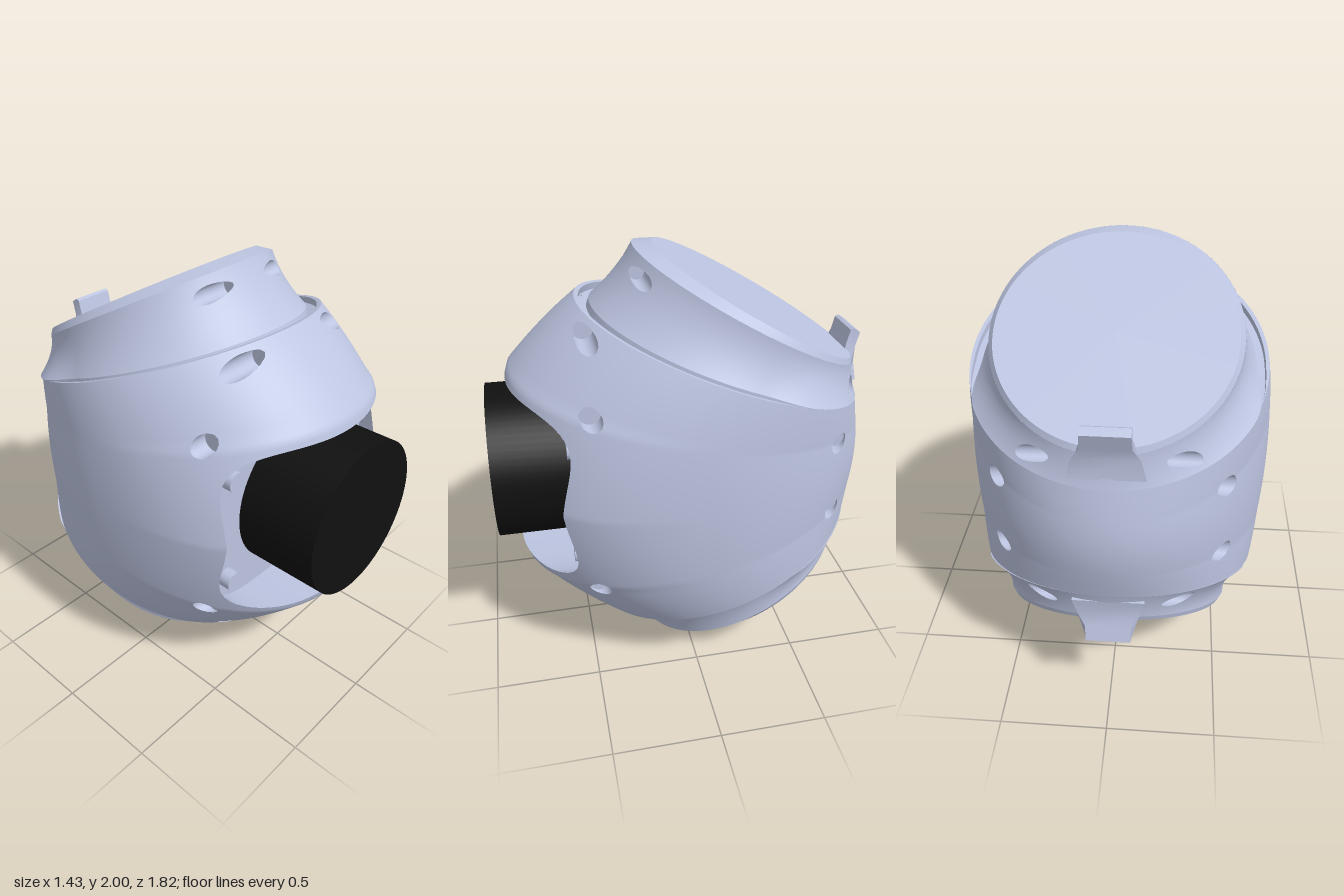
import * as THREE from 'three';
import { toCreasedNormals } from 'three/addons/utils/BufferGeometryUtils.js';

const RAD = Math.PI / 180, HINGE_Z = -1.63, MID_Y = 1, N = 280;
const COLLAR = 20.4, RIM = 28.65, FACE = 29.9;   // tilt of the section planes, in degrees
const { smoothstep, lerp } = THREE.MathUtils;

// Sections lie in planes fanned about a hinge line behind the model:
// rf / rb = front / back distance from the hinge, w = half width, n = roundness
function bodySection(t) {
  const s = Math.abs(t) / COLLAR;
  return {
    rf: Math.min(2.5 - 0.09 * s * s, 2.475 - 0.51 * (s - 0.54)),
    rb: 0.725 + 0.095 * s * s,
    w: () => 0.715 - 0.05 * s * s,
    n: u => (u > 0 ? 2 + 0.4 * Math.max(0, 1 - s / 0.6) : 2),
  };
}
function neckSection(t) {
  const s = (Math.abs(t) - COLLAR) / (RIM - COLLAR), f = (1 - s) ** 2;
  return {
    rf: 2.085 + 0.085 * f,
    rb: 0.82 + 0.085 * s,
    w: u => 0.54 + (0.07 + 0.055 * smoothstep(-u, 0, 0.45)) * f,
    n: () => 2,
  };
}
const faceSection = () => ({ rf: 2.007, rb: 0.925, w: () => 0.515, n: () => 2 });

const halfWidth = (sec, u) => {
  const n = sec.n(u), k = Math.min(1, Math.abs(u));
  return sec.w(u) * Math.max(0, 1 - k ** n) ** (1 / n);
};
function point(sec, t, u, side) {
  const r = (sec.rf + sec.rb) / 2 + u * (sec.rf - sec.rb) / 2;
  return new THREE.Vector3(side * halfWidth(sec, u),
    MID_Y + r * Math.sin(t * RAD), HINGE_Z + r * Math.cos(t * RAD));
}
// Half width of the surface at a given height and depth
function widthAt(section, y, z) {
  const t = Math.atan2(y - MID_Y, z - HINGE_Z) / RAD, sec = section(t);
  const r = Math.hypot(y - MID_Y, z - HINGE_Z);
  const u = (2 * r - sec.rf - sec.rb) / (sec.rf - sec.rb);
  return Math.abs(u) > 1 ? 0 : halfWidth(sec, u);
}

// Round holes drilled sideways: z, height above the middle, radius, surface
const HOLES = [
  [0.2, 0.91, 0.037, neckSection], [0.455, 0.7, 0.047, bodySection],
  [0.47, 0.44, 0.048, bodySection], [-0.65, 0.18, 0.047, bodySection],
  [-0.76, 0.38, 0.035, neckSection],
].flatMap(([z, h, r, section]) => [1, -1].map(m => ({ z, y: MID_Y + m * h, r, section })));

// Front opening outline and where it meets the body
const OPEN_W = 0.56, OPEN_H = 0.43, OPEN_N = 4.5;
const openingValue = (x, y) =>
  (Math.abs(x / OPEN_W) ** OPEN_N + Math.abs((y - MID_Y) / OPEN_H) ** OPEN_N) ** (1 / OPEN_N);
function bodyFront(x, y) {
  let lo = 0.1, hi = 1.1;
  for (let i = 0; i < 22; i++) {
    const z = (lo + hi) / 2;
    if (widthAt(bodySection, y, z) > Math.abs(x)) lo = z; else hi = z;
  }
  return lo;
}
// Moves points that fall inside a cut onto its edge
function trim(p, section) {
  for (const h of HOLES) {
    const dz = p.z - h.z, dy = p.y - h.y, d = Math.hypot(dz, dy);
    if (h.section !== section || d >= h.r) continue;
    p.z = h.z + dz * h.r / (d || 1);
    p.y = h.y + dy * h.r / (d || 1);
    p.x = Math.sign(p.x) * widthAt(section, p.y, p.z);
    return true;
  }
  const f = openingValue(p.x, p.y);
  if (section === bodySection && p.z > 0.2 && f < 1) {
    p.x /= f || 1;
    p.y = MID_Y + (p.y - MID_Y) / (f || 1);
    p.z = bodyFront(p.x, p.y);
    return true;
  }
  return false;
}

// Skin over closed rows of points; triangles wholly inside a cut are left out
function loft(rows, count, at, section, flip = false) {
  const pos = [], cut = [], index = [];
  for (let i = 0; i < rows; i++) for (let j = 0; j < count; j++) {
    const p = at(i, j / count * 2 * Math.PI);
    cut.push(section ? trim(p, section) : false);
    pos.push(p.x, p.y, p.z);
  }
  const tri = (a, b, c) => {
    if (!(cut[a] && cut[b] && cut[c])) index.push(...(flip ? [a, c, b] : [a, b, c]));
  };
  for (let i = 0; i < rows - 1; i++) for (let j = 0; j < count; j++) {
    const k = (j + 1) % count, a = i * count, b = a + count;
    tri(a + j, a + k, b + k);
    tri(a + j, b + k, b + j);
  }
  const g = new THREE.BufferGeometry();
  g.setAttribute('position', new THREE.Float32BufferAttribute(pos, 3));
  g.setIndex(index);
  g.computeVertexNormals();
  return g;
}
const ringPoint = (sec, t, a) => point(sec, t, Math.cos(a), Math.sign(Math.sin(a)));

export function createModel() {
  const shell = new THREE.MeshStandardMaterial({ color: 0xbcc4e0, side: THREE.DoubleSide });
  shell.name = 'paleBlueGrey';
  const black = new THREE.MeshStandardMaterial({ color: 0x101010 });
  black.name = 'black';
  const model = new THREE.Group();
  const add = (name, geometry, material = shell) => {
    const mesh = new THREE.Mesh(geometry, material);
    mesh.name = name;
    model.add(mesh);
    return mesh;
  };

  // Barrel body
  const rows = 97;
  add('body', loft(rows, N, (i, a) => {
    const t = lerp(-COLLAR, COLLAR, i / (rows - 1));
    return ringPoint(bodySection(t), t, a);
  }, bodySection));

  for (const m of [1, -1]) {
    const end = m > 0 ? 'upper' : 'lower', flip = m < 0;
    // Ledge with a groove that fades out towards the back
    const steps = [[0, 0], [0.3, 0], [0.35, 0.9], [1, 0.9], [1, 0]];
    add(end + 'Ledge', toCreasedNormals(loft(steps.length, N, (i, a) => {
      const [k, dip] = steps[i], t = m * (COLLAR - dip * smoothstep(Math.cos(a), -0.5, 0));
      return ringPoint(bodySection(COLLAR), t, a).lerp(ringPoint(neckSection(COLLAR), t, a), k);
    }, null, flip), 0.6));
    // Neck, chamfer and flat end face
    add(end + 'Neck', loft(31, N, (i, a) => {
      const t = m * lerp(COLLAR, RIM, i / 30);
      return ringPoint(neckSection(t), t, a);
    }, neckSection, flip));
    add(end + 'Chamfer', loft(2, 96, (i, a) => (i
      ? ringPoint(faceSection(), m * FACE, a) : ringPoint(neckSection(RIM), m * RIM, a)), null, flip));
    const centre = point({ ...faceSection(), w: () => 0 }, m * FACE, 0, 0);
    add(end + 'EndFace', loft(2, 96, (i, a) => (i
      ? centre.clone() : ringPoint(faceSection(), m * FACE, a)), null, flip));

    // Curved tab at the back, narrowing to its tip
    const profile = [[-0.78, 0.36], [-0.8, 0.46], [-0.812, 0.5], [-0.828, 0.565], [-0.845, 0.572],
      [-0.877, 0.55], [-0.857, 0.48], [-0.84, 0.42], [-0.85, 0.33], [-0.8, 0.33]];
    const tab = new THREE.ExtrudeGeometry(
      new THREE.Shape(profile.map(([z, h]) => new THREE.Vector2(-z, MID_Y + m * h))),
      { depth: 2, bevelEnabled: false });
    tab.translate(0, 0, -1).rotateY(Math.PI / 2);
    const p = tab.attributes.position;
    for (let i = 0; i < p.count; i++) {
      const h = Math.abs(p.getY(i) - MID_Y);
      p.setX(i, p.getX(i) * (0.1 + 0.06 * (1 - smoothstep(h, 0.36, 0.5))));
    }
    tab.computeVertexNormals();
    add(end + 'Tab', toCreasedNormals(tab, 0.6));
  }

  // Walls and floors of the round holes
  for (const h of HOLES) for (const side of [1, -1]) {
    const rim = a => {
      const y = h.y + h.r * Math.sin(a), z = h.z + h.r * Math.cos(a);
      return new THREE.Vector3(side * widthAt(h.section, y, z), y, z);
    };
    let floor = 9;
    for (let j = 0; j < 32; j++) floor = Math.min(floor, Math.abs(rim(j / 16 * Math.PI).x));
    floor = side * Math.max(0.02, floor - 0.015);
    add('holeWall', loft(2, 32, (i, a) => {
      const q = rim(a);
      if (i) q.x = floor;
      return q;
    }, null, side < 0));
    const disc = add('holeFloor', new THREE.CircleGeometry(h.r, 32));
    disc.rotation.y = side * Math.PI / 2;
    disc.position.set(floor, h.y, h.z);
  }

  // Front opening: wall, floor and corner bosses
  const FLOOR_Z = 0.52;
  const edge = a => {
    const c = Math.cos(a), s = Math.sin(a), f = openingValue(c, MID_Y + s);
    return new THREE.Vector2(c / f, MID_Y + s / f);
  };
  add('openingWall', loft(2, 160, (i, a) => {
    const e = edge(a);
    return new THREE.Vector3(e.x, e.y, i ? FLOOR_Z : bodyFront(e.x, e.y));
  }, null, true));
  const outline = Array.from({ length: 160 }, (_, j) => edge(j / 80 * Math.PI));
  add('openingFloor', new THREE.ShapeGeometry(new THREE.Shape(outline))).position.z = FLOOR_Z;
  for (const x of [-0.455, 0.455]) for (const y of [-0.27, 0.27]) {
    const boss = add('cornerBoss', new THREE.CylinderGeometry(0.045, 0.045, 0.06, 20));
    boss.rotation.x = Math.PI / 2;
    boss.position.set(x, MID_Y + y, FLOOR_Z + 0.025);
  }

  // Black lens barrel
  const lens = add('lensBarrel', new THREE.CylinderGeometry(0.37, 0.37, 0.41, 72), black);
  lens.rotation.x = Math.PI / 2;
  lens.position.set(0, MID_Y, 0.705);
  return model;
}
